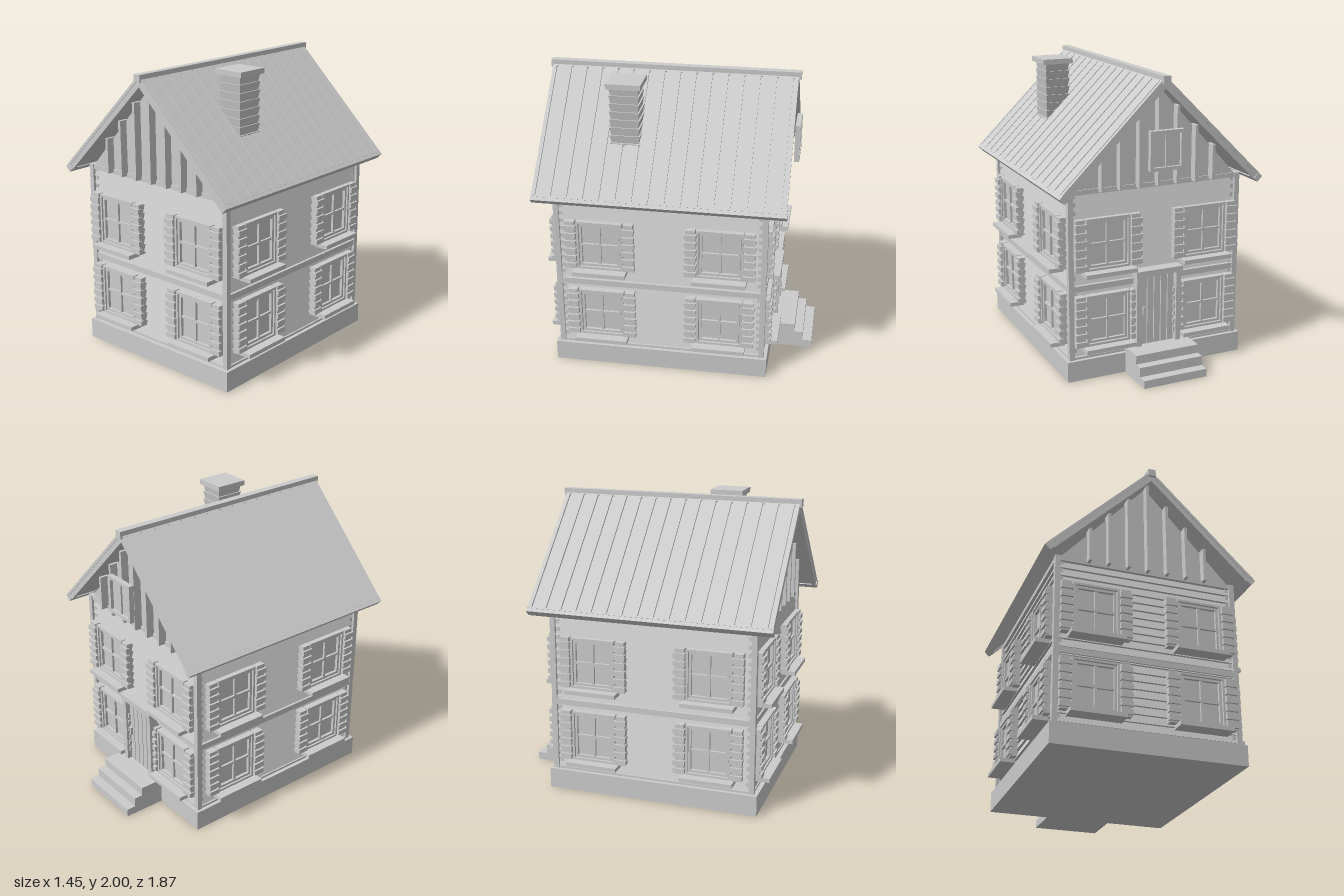
import * as THREE from 'three';

const plaster = new THREE.MeshStandardMaterial({ color: 0xcccccc });
plaster.name = 'light grey';
const CZ = 0.09; // middle of the house along z

function add(parent, name, geometry) {
  const mesh = new THREE.Mesh(geometry, plaster);
  mesh.name = name;
  parent.add(mesh);
  return mesh;
}

// Box given by its low and high limits on each axis
function box(parent, name, x0, x1, y0, y1, z0, z1) {
  const mesh = add(parent, name, new THREE.BoxGeometry(x1 - x0, y1 - y0, z1 - z0));
  mesh.position.set((x0 + x1) / 2, (y0 + y1) / 2, (z0 + z1) / 2);
  return mesh;
}

function group(parent, name) {
  const g = new THREE.Group();
  g.name = name;
  parent.add(g);
  return g;
}

// Rectangular border, centred on x = 0, y = 0
function border(parent, name, w, h, t, z0, z1) {
  for (const s of [-1, 1]) {
    box(parent, name, s * (w - t / 2) - t / 2, s * (w - t / 2) + t / 2, -h, h, z0, z1);
    box(parent, name, -w + t, w - t, s * (h - t / 2) - t / 2, s * (h - t / 2) + t / 2, z0, z1);
  }
}

// Lapped boards: a saw-tooth profile run along the wall
function siding(parent, halfWidth) {
  const y0 = 0.104, pitch = 0.0553, n = 21;
  const shape = new THREE.Shape();
  shape.moveTo(0.06, y0);
  for (let i = 0; i < n; i++) {
    shape.lineTo(0.012, y0 + i * pitch);
    shape.lineTo(0.03, y0 + (i + 1) * pitch);
  }
  shape.lineTo(0.06, y0 + n * pitch);
  const geo = new THREE.ExtrudeGeometry(shape, { depth: 2 * halfWidth, bevelEnabled: false });
  geo.translate(0, 0, -halfWidth).rotateY(Math.PI / 2);
  add(parent, 'siding', geo);
}

// Four-pane window with sill and a louvred shutter on each side
function houseWindow(parent, x, y) {
  const g = group(parent, 'window');
  g.position.set(x, y, 0);
  border(g, 'casing', 0.155, 0.175, 0.015, -0.03, 0.022);
  border(g, 'sash', 0.137, 0.157, 0.017, -0.03, 0.012);
  box(g, 'pane', -0.14, 0.14, -0.16, 0.16, -0.03, -0.008);
  box(g, 'muntin', -0.008, 0.008, -0.145, 0.145, -0.01, 0.008);
  box(g, 'muntin', -0.125, 0.125, -0.008, 0.008, -0.01, 0.008);
  box(g, 'sill', -0.18, 0.18, -0.205, -0.177, -0.03, 0.083);
  for (const s of [-1, 1]) {
    const shutter = group(g, 'shutter');
    shutter.position.x = s * 0.197;
    box(shutter, 'shutterPanel', -0.032, 0.032, -0.175, 0.175, -0.03, 0.026);
    for (let i = 0; i < 6; i++) {
      const y0 = -0.165 + i * 0.056;
      box(shutter, 'shutterSlat', -0.04, 0.04, y0, y0 + 0.033, 0.008, 0.04);
    }
  }
}

// One wall seen from outside: x along the wall, z outward, z = 0 at the corner posts
function facade(house, name, half, windowX) {
  const g = group(house, name);
  siding(g, half - 0.02);
  box(g, 'baseTrim', -half + 0.03, half - 0.03, 0.13, 0.155, -0.05, -0.006);
  box(g, 'beltBoard', -half + 0.03, half - 0.03, 0.61, 0.65, -0.05, -0.004);
  box(g, 'topTrim', -half + 0.03, half - 0.03, 1.258, 1.29, -0.06, -0.006);
  for (const x of [-windowX, windowX])
    for (const y of [0.405, 0.925]) houseWindow(g, x, y);
  return g;
}

function door(parent) {
  const g = group(parent, 'door');
  for (const s of [-1, 1])
    box(g, 'doorJamb', s * 0.145 - 0.018, s * 0.145 + 0.018, 0.14, 0.68, -0.03, 0.055);
  box(g, 'doorLintel', -0.17, 0.17, 0.67, 0.71, -0.03, 0.065);
  box(g, 'doorPanel', -0.13, 0.13, 0.16, 0.67, -0.03, 0.012);
  for (let i = 0; i < 5; i++)
    box(g, 'doorPlank', -0.122 + i * 0.05, -0.078 + i * 0.05, 0.18, 0.66, 0, 0.024);
  box(g, 'doorHandle', -0.108, -0.094, 0.39, 0.45, 0.02, 0.042);
}

// Upright studs on a gable wall
function gableStuds(parent) {
  [[0, 1.95], [0.135, 1.79], [0.27, 1.65], [0.4, 1.51]].forEach(([x, top]) => {
    for (const s of x ? [-1, 1] : [1])
      box(parent, 'gableStud', s * x - 0.01, s * x + 0.01, 1.27, top, -0.03, 0.04);
  });
}

// Half roof, built sloping down +x from the ridge
function roofHalf(parent) {
  const half = group(parent, 'roofSlope');
  const g = group(half, 'roofSlopeParts');
  g.position.y = 1.995;
  g.rotation.z = -0.775;
  box(g, 'roofDeck', 0, 0.99, -0.045, -0.012, -0.825, 0.825);
  for (let i = 0; i < 15; i++) {
    const z = -0.8025 + i * 0.107;
    box(g, 'roofPlank', 0, 0.995, -0.02, 0, z + 0.006, z + 0.101);
  }
  for (const s of [-1, 1]) {
    box(g, 'bargeEdge', 0, 0.99, -0.02, 0, s * 0.819 - 0.013, s * 0.819 + 0.013);
    box(g, 'bargeBoard', 0, 0.99, -0.055, -0.018, s * 0.815 - 0.013, s * 0.815 + 0.013);
  }
  box(g, 'eaveFascia', 0.982, 1.02, -0.052, -0.002, -0.835, 0.835);
  return half;
}

export function createModel() {
  const house = new THREE.Group();
  house.name = 'house';

  // Foundation and back steps
  box(house, 'foundation', -0.645, 0.645, 0, 0.14, -0.645, 0.83);
  [[0.18, -0.81], [0.12, -0.87], [0.055, -0.935]].forEach(([top, z]) =>
    box(house, 'step', -0.23, 0.23, 0, top, z, -0.625));

  // Wall core and corner posts
  box(house, 'wallCore', -0.58, 0.58, 0.13, 1.29, CZ - 0.67, CZ + 0.67);
  for (const sx of [-1, 1])
    for (const sz of [-1, 1])
      box(house, 'cornerPost', sx * 0.606 - 0.018, sx * 0.606 + 0.018, 0.13, 1.29,
        CZ + sz * 0.697 - 0.018, CZ + sz * 0.697 + 0.018);

  // Four walls
  const front = facade(house, 'frontWall', 0.625, 0.353);
  front.position.z = CZ + 0.715;
  const back = facade(house, 'backWall', 0.625, 0.353);
  back.position.z = CZ - 0.715;
  back.rotation.y = Math.PI;
  for (const s of [-1, 1]) {
    const side = facade(house, s > 0 ? 'leftWall' : 'rightWall', 0.715, 0.405);
    side.position.set(s * 0.625, 0, CZ);
    side.rotation.y = s * Math.PI / 2;
  }
  door(back);
  gableStuds(front);
  gableStuds(back);

  // Gable block under the roof
  const gable = new THREE.Shape([
    new THREE.Vector2(-0.59, 1.285), new THREE.Vector2(0.59, 1.285), new THREE.Vector2(0, 1.93)]);
  const gableGeo = new THREE.ExtrudeGeometry(gable, { depth: 1.4, bevelEnabled: false });
  add(house, 'gable', gableGeo).position.z = CZ - 0.7;

  // Attic window set forward on the back gable
  const attic = group(house, 'atticWindow');
  attic.position.set(0, 1.53, -0.745);
  attic.rotation.y = Math.PI;
  border(attic, 'atticFrame', 0.12, 0.13, 0.022, -0.005, 0.03);
  box(attic, 'atticPane', -0.105, 0.105, -0.115, 0.115, -0.003, 0.008);
  box(attic, 'atticMuntin', -0.008, 0.008, -0.11, 0.11, 0, 0.02);

  // Roof
  const roof = group(house, 'roof');
  roof.position.z = CZ;
  roofHalf(roof);
  roofHalf(roof).rotation.y = Math.PI;
  box(roof, 'ridgeCap', -0.026, 0.026, 1.95, 2, -0.85, 0.845);

  // Chimney of flared courses
  const chimney = group(house, 'chimney');
  chimney.position.set(0.337, 0, 0.35);
  for (let i = 0; i < 8; i++) {
    const course = new THREE.CylinderGeometry(0.088 * Math.SQRT2, 0.079 * Math.SQRT2, 0.055, 4, 1);
    course.rotateY(Math.PI / 4).scale(1, 1, 1.14);
    const mesh = add(chimney, 'chimneyCourse', course.toNonIndexed());
    mesh.geometry.computeVertexNormals();
    mesh.position.y = 1.9425 - i * 0.055;
  }
  box(chimney, 'chimneyCap', -0.108, 0.108, 1.965, 2, -0.115, 0.115);

  return house;
}
